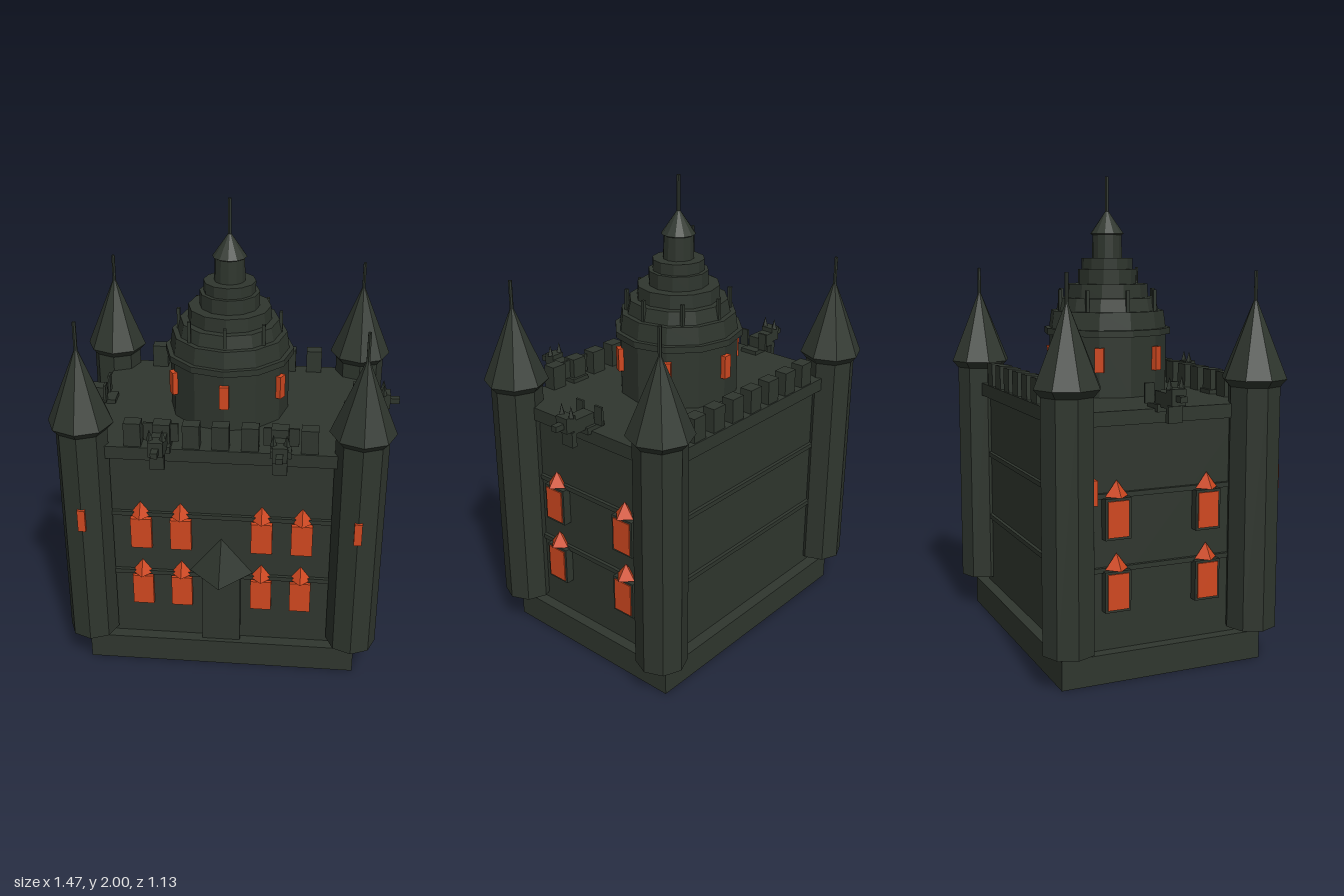
import * as THREE from 'three';

const stone = new THREE.MeshStandardMaterial({ color: 0x2f362e, flatShading: true });
stone.name = 'dark stone';
const glow = new THREE.MeshStandardMaterial({ color: 0xd04820, flatShading: true });
glow.name = 'glowing window';

const CZ = -0.025; // depth of the castle's centre line

function add(parent, name, geometry, material, x = 0, y = 0, z = 0) {
  const mesh = new THREE.Mesh(geometry, material);
  mesh.name = name;
  mesh.position.set(x, y, z);
  parent.add(mesh);
  return mesh;
}

// Box given by its centre in x and z and its bottom and top heights
function block(parent, name, w, d, y0, y1, x = 0, z = 0, material = stone) {
  return add(parent, name, new THREE.BoxGeometry(w, y1 - y0, d), material, x, (y0 + y1) / 2, z);
}

// Straight or tapered prism between two heights
function prism(parent, name, r0, r1, y0, y1, sides, x = 0, z = 0, material = stone) {
  const geo = r1 === 0 ? new THREE.ConeGeometry(r0, y1 - y0, sides)
    : new THREE.CylinderGeometry(r1, r0, y1 - y0, sides);
  return add(parent, name, geo, material, x, (y0 + y1) / 2, z);
}

function group(parent, name, x = 0, y = 0, z = 0, turn = 0) {
  const g = new THREE.Group();
  g.name = name;
  g.position.set(x, y, z);
  g.rotation.y = turn;
  parent.add(g);
  return g;
}

function tower(parent, x, z) {
  const g = group(parent, 'cornerTower', x, 0, z);
  prism(g, 'towerShaft', 0.108, 0.108, 0.15, 1.16, 8);
  prism(g, 'towerEaves', 0.108, 0.135, 1.15, 1.18, 8);
  prism(g, 'towerRoof', 0.135, 0, 1.18, 1.51, 8);
  prism(g, 'towerSpike', 0.008, 0.008, 1.48, 1.61, 6);
  block(g, 'towerWindow', 0.032, 0.04, 0.72, 0.82, 0, 0.097, glow);
}

// Faces +z, standing on the edge of the roof
function gargoyle(parent, x, z, turn) {
  const g = group(parent, 'gargoyle', x, 0, z, turn);
  block(g, 'perch', 0.086, 0.095, 1.07, 1.1, 0, -0.022);
  block(g, 'body', 0.06, 0.11, 1.09, 1.15, 0, 0.03);
  block(g, 'forelegs', 0.06, 0.025, 1.035, 1.1, 0, 0.085);
  block(g, 'head', 0.06, 0.05, 1.105, 1.17, 0, 0.1);
  block(g, 'snout', 0.028, 0.055, 1.122, 1.146, 0, 0.138);
  for (const s of [-1, 1]) {
    prism(g, 'ear', 0.015, 0, 1.165, 1.215, 4, s * 0.026, 0.095);
    block(g, 'wing', 0.04, 0.01, 1.1, 1.18, s * 0.052, -0.03);
  }
}

// Pane with a small pointed hood
function window_(parent, x, y, z, turn, framed) {
  const g = group(parent, 'window', x, y, z, turn);
  if (framed) block(g, 'windowFrame', 0.11, 0.04, -0.01, 0.155, 0, 0);
  block(g, 'windowPane', 0.09, 0.03, 0, 0.145, 0, framed ? 0.01 : 0, glow);
  prism(g, 'windowHood', 0.048, 0, 0.16, 0.225, 4, 0, 0, glow);
}

export function createModel() {
  const castle = new THREE.Group();
  castle.name = 'castle';

  // Plinth, keep, belts and cornice
  block(castle, 'plinth', 1.17, 0.88, 0, 0.12, 0, CZ);
  block(castle, 'keep', 1.075, 0.78, 0.12, 1.05, 0, CZ);
  for (const y of [0.44, 0.737]) block(castle, 'belt', 1.105, 0.81, y, y + 0.02, 0, CZ);
  block(castle, 'cornice', 1.15, 0.86, 1.025, 1.082, 0, CZ);

  // Corner towers
  for (const x of [-0.57, 0.57]) for (const z of [-0.43, 0.377]) tower(castle, x, z);

  // Battlements along the front and back
  for (let i = -3; i <= 3; i++) {
    for (const z of [-0.42, 0.368]) block(castle, 'merlon', 0.07, 0.057, 1.08, 1.185, i * 0.12, z);
  }

  // Windows on the front and the two sides
  for (const y of [0.288, 0.58]) {
    for (const s of [-1, 1]) {
      for (const x of [0.172, 0.342]) window_(castle, s * x, y, 0.37, 0, false);
      for (const z of [-0.197, 0.197]) window_(castle, s * 0.555, y + 0.005, CZ + z, s * Math.PI / 2, true);
    }
  }

  // Entrance
  block(castle, 'door', 0.166, 0.05, 0.12, 0.47, 0, 0.37);
  prism(castle, 'doorCanopy', 0.135, 0, 0.468, 0.635, 4, 0, 0.37);

  // Gargoyles
  for (const s of [-1, 1]) {
    gargoyle(castle, s * 0.57, CZ, s * Math.PI / 2);
    gargoyle(castle, s * 0.245, 0.397, 0);
  }

  // Stepped dome
  const dome = group(castle, 'dome', 0, 0, CZ);
  const profile = [
    [0, 1.08], [0.255, 1.08], [0.255, 1.335], [0.275, 1.335], [0.275, 1.362], [0.255, 1.362],
    [0.245, 1.435], [0.222, 1.435], [0.21, 1.49], [0.178, 1.49], [0.175, 1.548], [0.127, 1.548],
    [0.127, 1.61], [0.11, 1.61], [0.11, 1.657], [0.065, 1.657], [0.063, 1.755], [0.072, 1.76], [0, 1.865],
  ].map(([r, y]) => new THREE.Vector2(r, y));
  add(dome, 'domeShell', new THREE.LatheGeometry(profile, 12), stone);
  prism(dome, 'domeSpike', 0.008, 0.008, 1.84, 2, 6);
  for (let i = 0; i < 6; i++) {
    const arm = group(dome, 'drumWindow', 0, 0, 0, i * Math.PI / 3);
    block(arm, 'drumWindowPane', 0.038, 0.04, 1.19, 1.29, 0, 0.252, glow);
  }
  for (let i = 0; i < 8; i++) {
    const a = i * Math.PI / 4;
    block(dome, 'domePost', 0.014, 0.014, 1.42, 1.525, Math.sin(a) * 0.217, Math.cos(a) * 0.217);
  }

  return castle;
}
